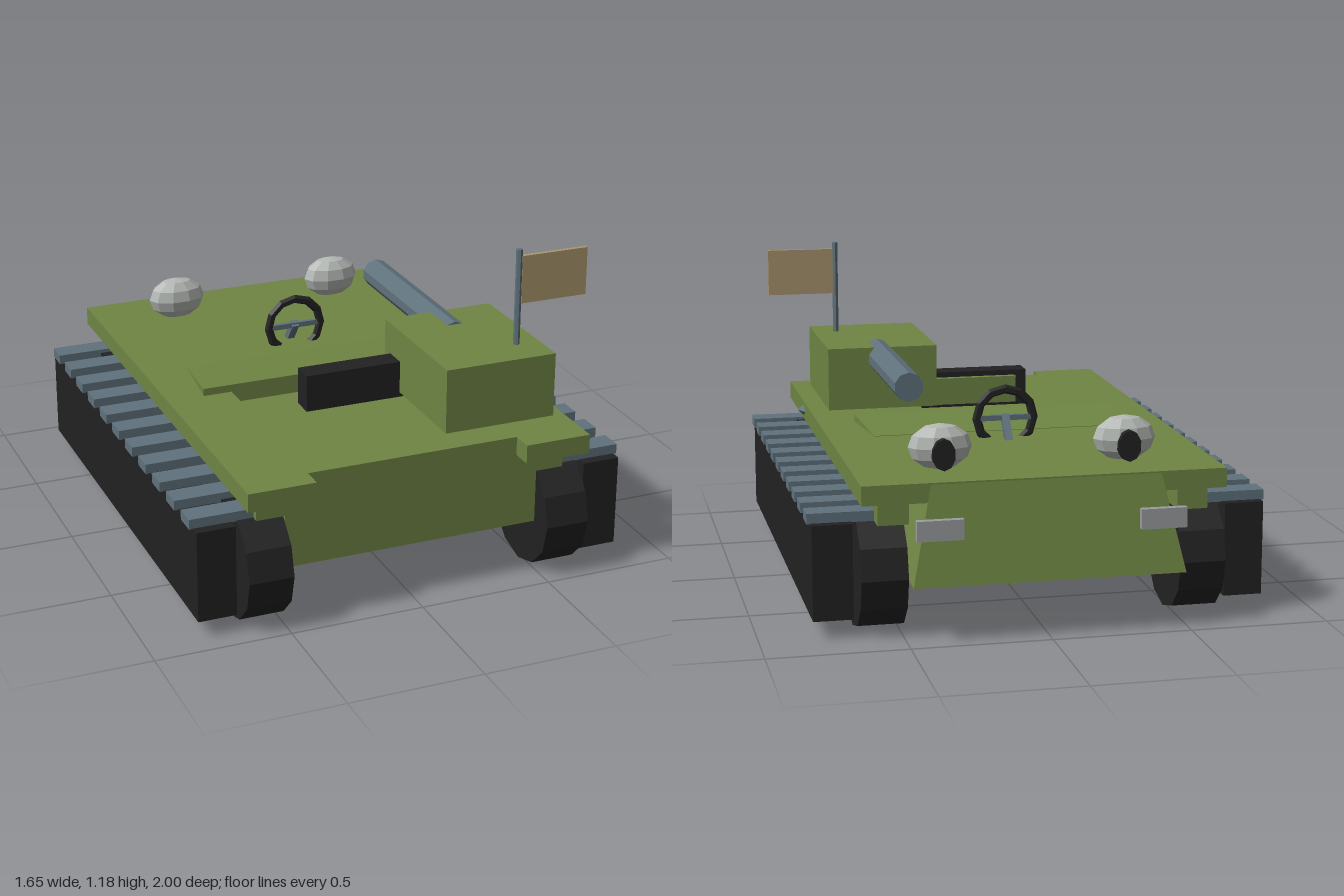
import * as THREE from 'three';

const mat = (name, color) => {
  const m = new THREE.MeshStandardMaterial({ color });
  m.name = name;
  return m;
};

export function createModel() {
  const green = mat('olive green', 0x6f8544);
  const black = mat('rubber black', 0x222222);
  const slate = mat('slate metal', 0x60727c);
  const tan = mat('tan cloth', 0xab966e);
  const pale = mat('pale lamp', 0xb4b8b4);
  const plateGrey = mat('plate grey', 0x9b9da0);

  const model = new THREE.Group();
  model.name = 'trackedVehicle';

  const add = (name, geo, material, x = 0, y = 0, z = 0) => {
    if (geo.index) geo = geo.toNonIndexed();
    geo.computeVertexNormals(); // faceted
    const mesh = new THREE.Mesh(geo, material);
    mesh.name = name;
    mesh.position.set(x, y, z);
    model.add(mesh);
    return mesh;
  };
  // Box given by its min and max on each axis
  const box = (name, material, x0, x1, y0, y1, z0, z1) =>
    add(name, new THREE.BoxGeometry(x1 - x0, y1 - y0, z1 - z0), material,
      (x0 + x1) / 2, (y0 + y1) / 2, (z0 + z1) / 2);
  // Side profile of [z, y] points, extruded across x
  const profile = (pts, half) => {
    const shape = new THREE.Shape(pts.map(([z, y]) => new THREE.Vector2(-z, y)));
    const g = new THREE.ExtrudeGeometry(shape, { depth: half * 2, bevelEnabled: false });
    return g.translate(0, 0, -half).rotateY(Math.PI / 2);
  };
  // Move vertices by a rule
  const warp = (g, rule) => {
    const p = g.attributes.position, v = new THREE.Vector3();
    for (let i = 0; i < p.count; i++) {
      rule(v.fromBufferAttribute(p, i));
      p.setXYZ(i, v.x, v.y, v.z);
    }
    return g;
  };

  // Hull with a sloping nose that narrows towards the deck
  add('hull', warp(profile([[0.9, 0.21], [0.9, 0.49], [-0.895, 0.49], [-0.905, 0.555], [-0.975, 0.21]], 0.485),
    v => { if (v.z < -0.85 && v.y > 0.4) v.x = Math.sign(v.x) * 0.41; }), green);

  // Deck with rear notch and cockpit opening
  const deck = new THREE.Shape([[-0.65, 0.9], [0.65, 0.9], [0.65, -0.985], [0.4, -0.985],
    [0.4, -0.905], [-0.4, -0.905], [-0.4, -0.985], [-0.65, -0.985]].map(p => new THREE.Vector2(...p)));
  deck.holes.push(new THREE.Path([[-0.4, -0.1], [-0.4, -0.235], [0.4, -0.235], [0.4, -0.1]]
    .map(p => new THREE.Vector2(...p))));
  add('deck', new THREE.ExtrudeGeometry(deck, { depth: 0.07, bevelEnabled: false })
    .rotateX(-Math.PI / 2), green, 0, 0.49, 0);

  // Rising cowl ahead of the cockpit
  add('cowl', warp(profile([[0.14, 0.555], [0.14, 0.588], [-0.14, 0.562], [-0.14, 0.555]], 0.51),
    v => { if (v.z < 0) v.x *= 0.94; }), green);
  box('cockpitCushion', black, -0.21, 0.21, 0.485, 0.5, 0.16, 0.235);

  // Seat back
  box('seatBack', black, -0.21, 0.21, 0.56, 0.70, 0.33, 0.418);
  box('seatPad', green, -0.165, 0.165, 0.575, 0.68, 0.305, 0.33);

  for (const s of [-1, 1]) {
    const side = (name, material, x0, x1, ...rest) =>
      box(name, material, Math.min(s * x0, s * x1), Math.max(s * x0, s * x1), ...rest);

    // Upper hull sides between recesses
    [[0.43, 0.9], [0.13, 0.255], [-0.17, -0.04], [-0.87, -0.34]].forEach(([z0, z1]) =>
      side('hullSide', green, 0.48, 0.59, 0.41, 0.492, z0, z1));

    // Track body and treads
    side('track', black, 0.67, 0.812, 0.07, 0.412, -0.83, 0.915);
    side('trackCore', black, 0.5, 0.67, 0.07, 0.41, -0.68, 0.76);
    for (let i = 0; i < 11; i++) {
      const z = -0.752 + i * 0.1585;
      side('tread', slate, 0.575, 0.825, 0.41, 0.447, z - 0.043, z + 0.043);
    }

    // Wheels
    for (const z of [0.78, -0.685])
      add('wheel', new THREE.CylinderGeometry(0.217, 0.217, 0.165, 12).rotateZ(Math.PI / 2),
        black, s * 0.57, 0.222, z);

    // Headlamps
    add('headlamp', new THREE.SphereGeometry(1, 10, 6).scale(0.115, 0.083, 0.066),
      pale, s * 0.335, 0.638, -0.682);
    add('lampLens', new THREE.CylinderGeometry(0.042, 0.042, 0.035, 10).rotateX(Math.PI / 2)
      .scale(1, 1.35, 1), black, s * 0.335, 0.622, -0.747);

    // Nose plates
    side('nosePlate', plateGrey, 0.313, 0.477, 0.38, 0.452, -1.0, -0.975);
    side('plateBracket', plateGrey, 0.36, 0.43, 0.4, 0.43, -0.98, -0.91);
  }

  // Axles
  for (const z of [0.78, -0.685])
    add('axle', new THREE.CylinderGeometry(0.02, 0.02, 1.35, 8).rotateZ(Math.PI / 2), slate, 0, 0.225, z);

  // Steering wheel, open at the bottom
  const gap = 0.5;
  add('steeringWheel', new THREE.TorusGeometry(0.108, 0.017, 6, 10, Math.PI * 2 - gap * 2)
    .rotateZ(-Math.PI / 2 + gap), black, 0, 0.632, -0.235);
  box('steeringSpoke', slate, -0.1, 0.1, 0.622, 0.642, -0.245, -0.228);
  const column = add('steeringColumn', new THREE.BoxGeometry(0.028, 0.11, 0.028), slate, 0, 0.595, -0.265);
  column.rotation.x = 0.65;

  // Gun housing and barrel
  box('gunHousing', green, 0.16, 0.588, 0.578, 0.82, 0.28, 0.82);
  add('gunBarrel', new THREE.CylinderGeometry(0.055, 0.055, 0.732, 10).rotateX(Math.PI / 2),
    slate, 0.375, 0.775, 0.062);

  // Flag
  add('flagPole', new THREE.CylinderGeometry(0.012, 0.012, 0.625, 6), slate, 0.498, 0.87, 0.685);
  box('flag', tan, 0.508, 0.768, 0.977, 1.157, 0.677, 0.693);

  // Side stud
  add('sideStud', new THREE.OctahedronGeometry(1).scale(0.026, 0.024, 0.06), slate, 0.648, 0.525, 0.57);

  return model;
}
